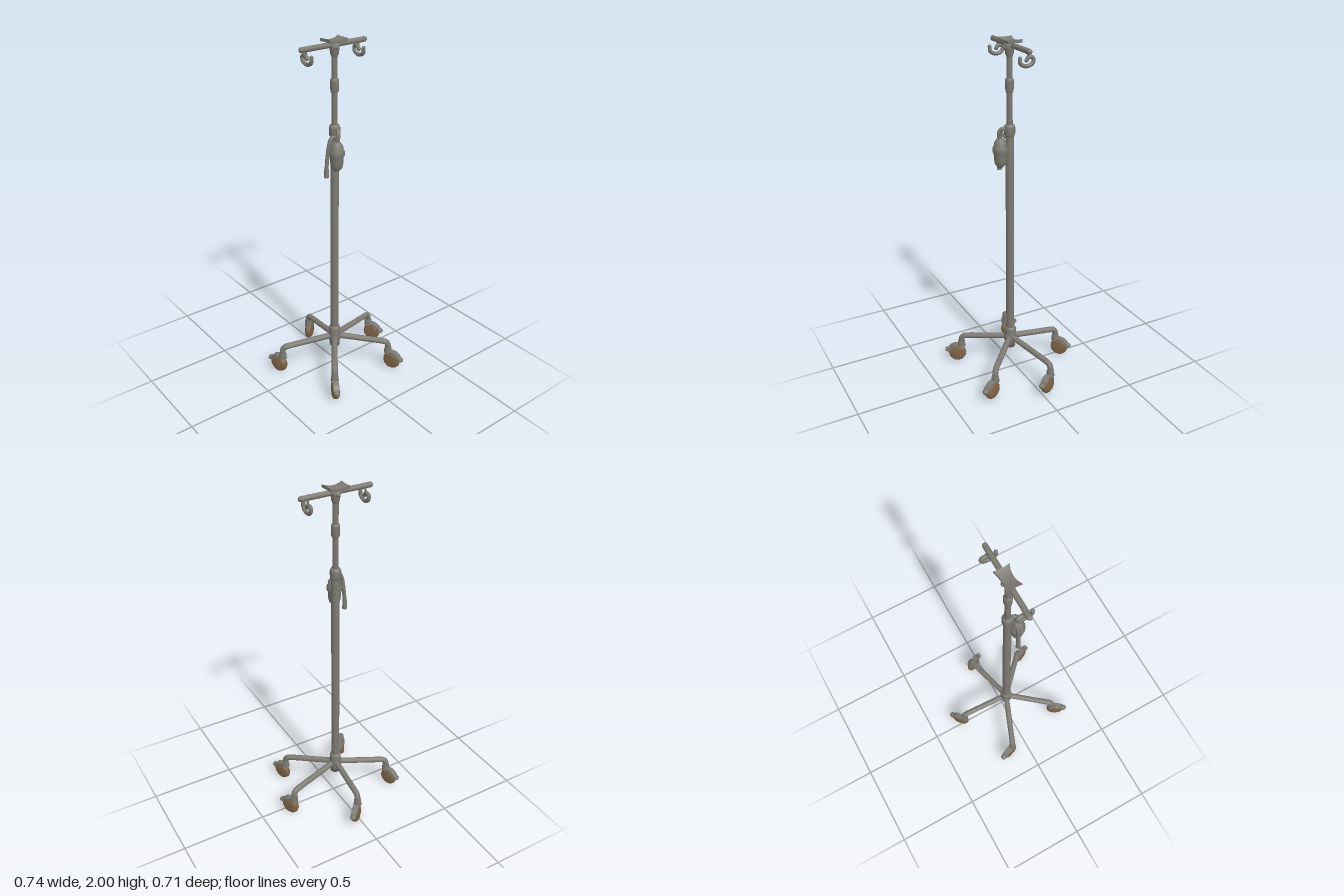
import * as THREE from 'three';

const metal = new THREE.MeshStandardMaterial({ color: 0x7c7a72 });
metal.name = 'grey metal';
const rubber = new THREE.MeshStandardMaterial({ color: 0x806549 });
rubber.name = 'brown rubber';

const PX = -0.024, PZ = 0.02; // pole axis
const v = (x, y, z) => new THREE.Vector3(x, y, z);

function add(parent, name, geometry, material = metal) {
  const mesh = new THREE.Mesh(geometry, material);
  mesh.name = name;
  parent.add(mesh);
  return mesh;
}

// Closed lathe from [radius, height] pairs, bottom to top
function lathe(parent, name, profile, x, z, segments = 24) {
  const pts = profile.map(([r, y]) => new THREE.Vector2(r, y));
  const mesh = add(parent, name, new THREE.LatheGeometry(pts, segments));
  mesh.position.set(x, 0, z);
  return mesh;
}

// Smooth round tube with rounded ends
function rod(parent, name, points, radius, segments = 32, tension = 0.5) {
  const curve = new THREE.CatmullRomCurve3(points, false, 'catmullrom', tension);
  add(parent, name, new THREE.TubeGeometry(curve, segments, radius, 12));
  for (const p of [points[0], points[points.length - 1]]) {
    add(parent, name + 'End', new THREE.SphereGeometry(radius, 12, 8)).position.copy(p);
  }
}

// Swivelling caster at the foot of a leg, rolling along local +x
function caster(x, z, angle) {
  const g = new THREE.Group();
  g.name = 'caster';
  g.position.set(x, 0, z);
  g.rotation.y = -angle;
  add(g, 'stem', new THREE.CylinderGeometry(0.021, 0.024, 0.035, 16)).position.set(0, 0.118, 0);

  // Rounded wheel
  const tread = [[0, -0.021], [0.038, -0.021], [0.05, -0.013], [0.054, 0], [0.05, 0.013], [0.038, 0.021], [0, 0.021]];
  const wheel = add(g, 'wheel', new THREE.LatheGeometry(tread.map(([r, y]) => new THREE.Vector2(r, y)), 28), rubber);
  wheel.rotation.x = Math.PI / 2;
  wheel.position.set(0.027, 0.055, 0);

  // Fender over the top of the wheel
  const fender = new THREE.Shape();
  fender.absarc(0, 0, 0.06, 0.25, 2.1, false);
  fender.absarc(0, 0, 0.05, 2.1, 0.25, true);
  const fenderGeo = new THREE.ExtrudeGeometry(fender, {
    depth: 0.03, bevelEnabled: true, bevelSize: 0.002, bevelThickness: 0.002, bevelSegments: 2, curveSegments: 14,
  });
  add(g, 'fender', fenderGeo).position.set(0.027, 0.055, -0.015);

  // Brake pedal
  const pedal = add(g, 'brakePedal', new THREE.CapsuleGeometry(0.014, 0.022, 6, 12));
  pedal.rotation.z = Math.PI / 2 - 0.15;
  pedal.position.set(0.078, 0.075, 0);
  pedal.scale.z = 1.25;
  return g;
}

export function createModel() {
  const model = new THREE.Group();
  model.name = 'dripStand';

  // Telescopic pole with collars
  lathe(model, 'lowerPole', [[0, 0.2], [0.024, 0.2], [0.023, 1.5], [0, 1.5]], PX, PZ);
  lathe(model, 'upperPole', [[0, 1.5], [0.017, 1.5], [0.016, 1.97], [0, 1.97]], PX, PZ);
  lathe(model, 'clampCollar', [[0.023, 1.475], [0.03, 1.485], [0.031, 1.525], [0.025, 1.54], [0.016, 1.543]], PX, PZ);
  lathe(model, 'upperCollar', [[0.016, 1.715], [0.022, 1.725], [0.024, 1.78], [0.021, 1.79], [0.016, 1.793]], PX, PZ);
  lathe(model, 'headSocket', [[0.016, 1.905], [0.022, 1.92], [0.026, 1.95], [0.03, 1.975], [0, 1.978]], PX, PZ);

  // Base hub
  lathe(model, 'hub', [[0, 0.14], [0.029, 0.14], [0.031, 0.17], [0.038, 0.185], [0.038, 0.22],
    [0.033, 0.235], [0.034, 0.262], [0.029, 0.272], [0.022, 0.275]], PX, PZ);

  // Five legs: foot x, foot z, caster direction x and z
  const legs = [
    [0.0, -0.285, 0.06, -0.052],
    [-0.325, -0.1, -0.028, -0.08],
    [0.313, -0.065, 0.038, 0.076],
    [-0.211, 0.262, -0.042, 0.072],
    [0.212, 0.243, 0.032, 0.078],
  ];
  for (const [x, z, dx, dz] of legs) {
    const at = (t, y) => v(PX + (x - PX) * t, y, PZ + (z - PZ) * t);
    rod(model, 'leg', [at(0.04, 0.207), at(0.5, 0.192), at(0.9, 0.179), at(0.975, 0.168), at(1, 0.145), at(1, 0.11)], 0.0175, 40);
    model.add(caster(x, z, Math.atan2(dz, dx)));
  }

  // Crossbar
  const bar = add(model, 'crossbar', new THREE.CapsuleGeometry(0.0145, 0.402, 4, 16));
  bar.rotation.z = Math.PI / 2;
  bar.position.set(-0.024, 1.966, 0.013);

  // Flared saddle plate on top, corners raised
  const plate = new THREE.BoxGeometry(0.112, 0.016, 0.074, 16, 2, 12);
  const p = plate.attributes.position;
  for (let i = 0; i < p.count; i++) {
    const u = p.getX(i) / 0.056, w = p.getZ(i) / 0.037;
    p.setX(i, p.getX(i) * (0.94 + 0.08 * w * w));
    p.setZ(i, p.getZ(i) * (0.8 + 0.35 * u * u));
    p.setY(i, p.getY(i) + 0.01 * u * u);
  }
  plate.computeVertexNormals();
  add(model, 'saddlePlate', plate).position.set(PX, 1.982, 0.016);
  const lower = add(model, 'lowerClamp', new THREE.CapsuleGeometry(0.012, 0.045, 4, 12));
  lower.rotation.x = Math.PI / 2;
  lower.position.set(PX, 1.955, 0.016);

  // Curled bag hooks
  for (const x of [-0.191, 0.144]) {
    rod(model, 'bagHook', [v(x, 1.93, 0.05), v(x, 1.903, 0.046), v(x, 1.888, 0.012), v(x, 1.9, -0.022),
      v(x, 1.927, -0.026), v(x, 1.932, 0), v(x, 1.917, 0.012)], 0.0105, 36);
    add(model, 'hookPin', new THREE.CylinderGeometry(0.006, 0.006, 0.035, 8)).position.set(x, 1.948, 0.004);
  }

  // Hanging canister
  lathe(model, 'canister', [[0, 1.298], [0.016, 1.3], [0.03, 1.315], [0.036, 1.345], [0.037, 1.38], [0.043, 1.387],
    [0.043, 1.41], [0.037, 1.418], [0.034, 1.44], [0.022, 1.458], [0.013, 1.464], [0, 1.467]], -0.045, 0.066, 28);
  add(model, 'canisterBracket', new THREE.BoxGeometry(0.024, 0.05, 0.04)).position.set(-0.033, 1.405, 0.04);
  rod(model, 'hanger', [v(PX, 1.507, 0.025), v(-0.03, 1.52, 0.055), v(-0.04, 1.502, 0.073), v(-0.046, 1.455, 0.07)], 0.012);

  // Hose down the side
  rod(model, 'hose', [v(-0.035, 1.475, 0.045), v(-0.065, 1.485, 0.05), v(-0.083, 1.45, 0.05), v(-0.092, 1.38, 0.046),
    v(-0.097, 1.32, 0.045), v(-0.1, 1.272, 0.045)], 0.011);
  const nozzle = add(model, 'hoseNozzle', new THREE.CylinderGeometry(0.012, 0.014, 0.05, 12));
  nozzle.position.set(-0.098, 1.29, 0.045);

  return model;
}
